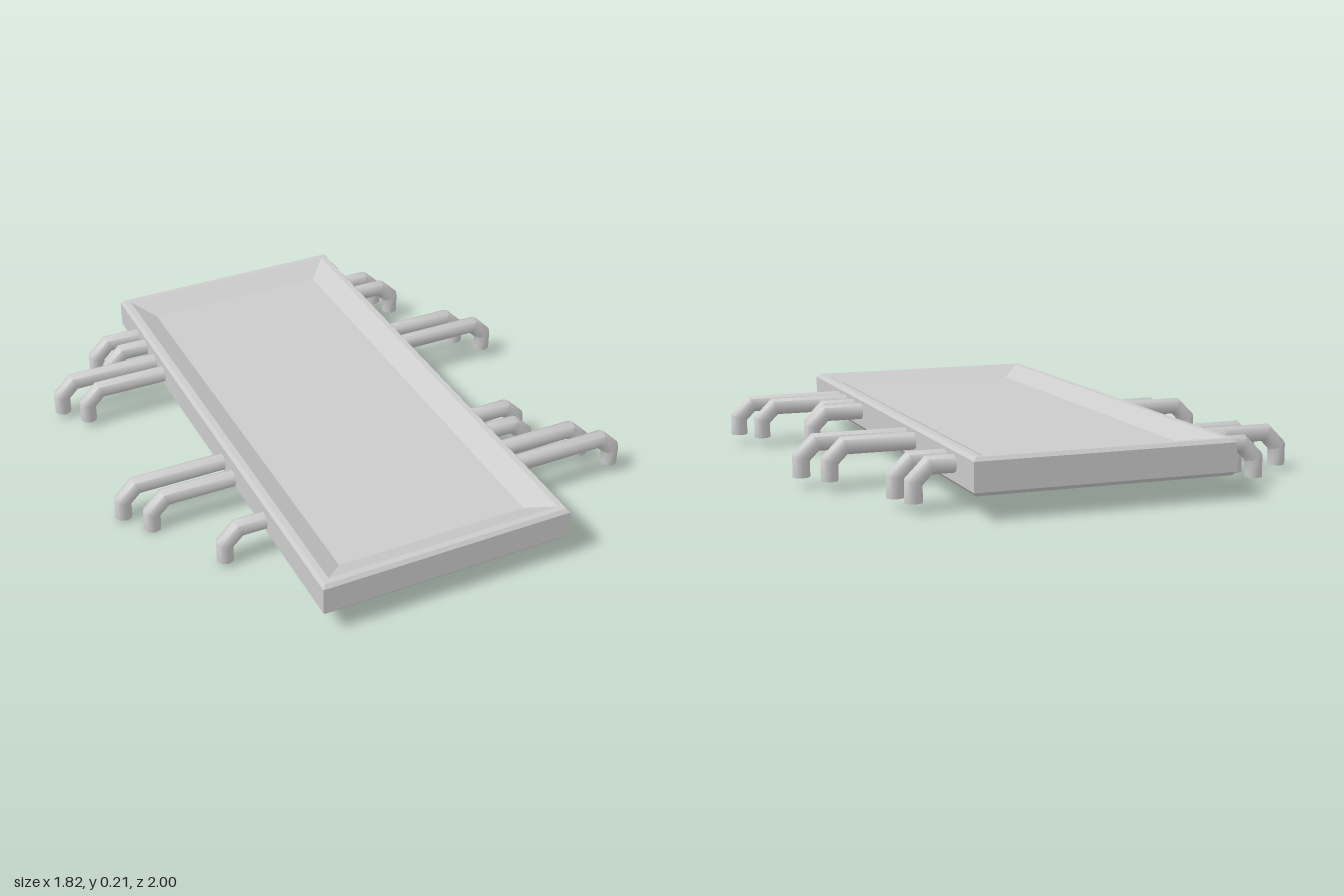
import * as THREE from 'three';
import { toCreasedNormals } from 'three/addons/utils/BufferGeometryUtils.js';

const material = new THREE.MeshStandardMaterial({ color: 0xcccccc });

// Skins a list of closed rings (arrays of Vector3, counter-clockwise about the path) and caps both ends
function loft(rings) {
  const n = rings[0].length;
  const positions = rings.flat().flatMap((p) => [p.x, p.y, p.z]);
  const index = [];
  const last = (rings.length - 1) * n;
  for (let i = 0; i < rings.length - 1; i++) {
    for (let j = 0; j < n; j++) {
      const k = (j + 1) % n;
      const a = i * n + j, b = i * n + k, c = b + n, d = a + n;
      index.push(a, b, c, a, c, d);
    }
  }
  for (let j = 1; j < n - 1; j++) {
    index.push(0, j + 1, j, last, last + j, last + j + 1);
  }
  const geometry = new THREE.BufferGeometry();
  geometry.setAttribute('position', new THREE.Float32BufferAttribute(positions, 3));
  geometry.setIndex(index);
  return geometry;
}

// Rectangular body with chamfered rims and a sloped recess above and below
function createBody() {
  const x0 = -0.488, x1 = 0.46, middle = 0.148, half = 0.064;
  // inset in x, inset in z, height from the middle
  const profile = [
    [0, 0, half - 0.013],
    [0.011, 0.011, half],
    [0.034, 0.034, half],
    [0.115, 0.122, half - 0.042],
  ];
  const ring = ([ix, iz, h], side) => {
    const y = middle + side * h;
    return [[x0 + ix, -1 + iz], [x0 + ix, 1 - iz], [x1 - ix, 1 - iz], [x1 - ix, -1 + iz]]
      .map(([x, z]) => new THREE.Vector3(x, y, z));
  };
  const rings = [
    ...profile.slice().reverse().map((p) => ring(p, -1)),
    ...profile.map((p) => ring(p, 1)),
  ];
  const mesh = new THREE.Mesh(toCreasedNormals(loft(rings), 0.1), material);
  mesh.name = 'body';
  return mesh;
}

// Octagonal pin: runs outward, turns down through a two-step elbow and ends in a flat foot
function createPin(start, reach, top, length) {
  const r = 0.032, elbow = 0.052;
  const x = reach - r, y = top - r;
  const path = [[start, y], [x - elbow, y], [x, y - elbow], [x, top - length]];
  const angles = [0, Math.PI / 8, Math.PI * 3 / 8, Math.PI / 2];
  const rings = path.map(([px, py], i) => {
    const bend = angles[i];
    const miter = (i === 1 || i === 2) ? r / Math.cos(Math.PI / 8) : r;
    return Array.from({ length: 8 }, (_, j) => {
      const t = j * Math.PI / 4;
      const out = Math.cos(t) * miter;
      return new THREE.Vector3(px + out * Math.sin(bend), py + out * Math.cos(bend), Math.sin(t) * r);
    });
  });
  return new THREE.Mesh(toCreasedNormals(loft(rings), 0.9), material);
}

export function createModel() {
  const model = new THREE.Group();
  model.name = 'pinnedBlock';
  model.add(createBody());

  // z, reach from the centre, top height
  const leftPins = [
    [0.63, 0.91, 0.19], [0.53, 0.838, 0.19], [0.41, 0.663, 0.19], [0.303, 0.69, 0.19],
    [-0.277, 0.877, 0.19], [-0.375, 0.8, 0.19], [-0.71, 0.665, 0.19], [-0.805, 0.632, 0.19],
  ];
  const rightPins = [
    [0.51, 0.672, 0.168], [0.222, 0.838, 0.155], [0.123, 0.913, 0.163],
    [-0.503, 0.838, 0.175], [-0.6, 0.913, 0.175], [-0.705, 0.672, 0.185], [-0.797, 0.703, 0.182],
  ];
  for (const [z, reach, top] of leftPins) {
    const pin = createPin(0.445, reach, top, 0.153);
    pin.name = 'leftPin';
    pin.position.z = z;
    model.add(pin);
  }
  for (const [z, reach, top] of rightPins) {
    const pin = createPin(0.473, reach, top, 0.155);
    pin.name = 'rightPin';
    pin.rotation.y = Math.PI;
    pin.position.z = z;
    model.add(pin);
  }
  return model;
}
